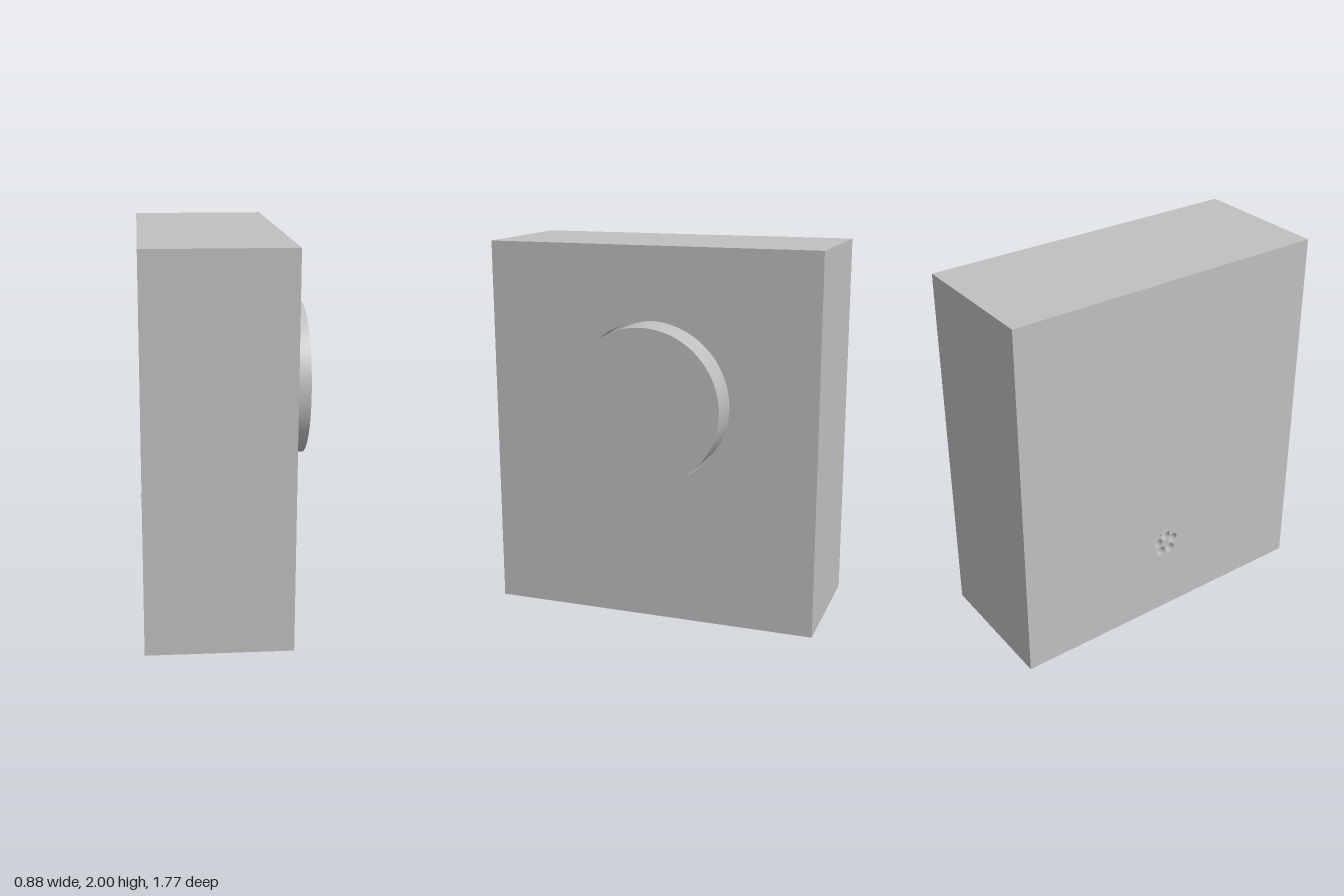
import * as THREE from 'three';

export function createModel() {
  const model = new THREE.Group();
  const grey = new THREE.MeshStandardMaterial({ color: 0xc0c0c0, side: THREE.DoubleSide });
  grey.name = 'plain grey';

  const X0 = -0.44, X1 = 0.3, Y0 = 0.01, Y1 = 2, Z = 0.885;
  const W = X1 - X0, H = Y1 - Y0, CX = (X0 + X1) / 2, CY = (Y0 + Y1) / 2;
  const SOCKET_R = 0.087, GROOVE_R = 0.425, KNOB_R = 0.41;

  function add(name, geometry, parent = model) {
    const mesh = new THREE.Mesh(geometry, grey);
    mesh.name = name;
    parent.add(mesh);
    return mesh;
  }
  function circle(x, y, r) {
    return new THREE.Path().absarc(x, y, r, 0, Math.PI * 2, true);
  }

  // Cabinet: six walls, three of them with a round opening [x, y, radius]
  const cabinet = new THREE.Group();
  cabinet.name = 'cabinet';
  model.add(cabinet);
  function wall(name, w, h, pos, rot, hole) {
    const s = new THREE.Shape([[-1, -1], [1, -1], [1, 1], [-1, 1]]
      .map(([x, y]) => new THREE.Vector2(x * w / 2, y * h / 2)));
    if (hole) s.holes.push(circle(...hole));
    const m = add(name, new THREE.ShapeGeometry(s, 48), cabinet);
    m.position.set(...pos);
    m.rotation.set(...rot);
  }
  const q = Math.PI / 2;
  wall('frontWall', W, H, [CX, CY, Z], [0, 0, 0]);
  wall('backWall', W, H, [CX, CY, -Z], [0, Math.PI, 0]);
  wall('topWall', W, 2 * Z, [CX, Y1, 0], [-q, 0, 0]);
  wall('bottomWall', W, 2 * Z, [CX, Y0, 0], [q, 0, 0], [-0.1 - CX, 0.54, SOCKET_R]);
  wall('leftWall', 2 * Z, H, [X1, CY, 0], [0, q, 0], [0, 1.195 - CY, GROOVE_R]);
  wall('rightWall', 2 * Z, H, [X0, CY, 0], [0, -q, 0], [0, 0.445 - CY, SOCKET_R]);

  // Round knob standing in a narrow groove
  const knob = new THREE.Group();
  knob.name = 'knob';
  knob.position.set(X1, 1.195, 0);
  knob.rotation.z = -q;
  model.add(knob);
  add('knobDisc', new THREE.CylinderGeometry(KNOB_R, KNOB_R, 0.235, 96), knob).position.y = 0.0175;
  add('grooveWall', new THREE.CylinderGeometry(GROOVE_R, GROOVE_R, 0.1, 96, 1, true), knob).position.y = -0.05;
  const floor = add('grooveFloor', new THREE.RingGeometry(KNOB_R, GROOVE_R, 96), knob);
  floor.rotation.x = -q;
  floor.position.y = -0.1;

  // Recessed connector with five bores and a small key at the rim
  function socket(name, pos, rot, keyAngle) {
    const g = new THREE.Group();
    g.name = name;
    g.position.set(...pos);
    g.rotation.set(...rot);
    model.add(g);
    const s = new THREE.Shape().absarc(0, 0, SOCKET_R, 0, Math.PI * 2, false);
    for (let i = 0; i < 5; i++) {
      const a = q + i * Math.PI * 0.4;
      s.holes.push(circle(Math.cos(a) * 0.052, Math.sin(a) * 0.052, 0.027));
    }
    const insert = new THREE.ExtrudeGeometry(s, { depth: 0.05, bevelEnabled: false, curveSegments: 24 });
    add('socketInsert', insert, g).position.z = -0.05;
    add('socketFloor', new THREE.CircleGeometry(SOCKET_R, 32), g).position.z = -0.05;
    const key = add('socketKey', new THREE.BoxGeometry(0.012, 0.05, 0.02), g);
    key.position.set(Math.cos(keyAngle) * 0.08, Math.sin(keyAngle) * 0.08, -0.004);
    key.rotation.z = keyAngle;
  }
  socket('sideSocket', [X0, 0.445, 0], [0, -q, 0], 1.75);
  socket('bottomSocket', [-0.1, Y0, 0.54], [q, 0, 0], 2.09);

  return model;
}
